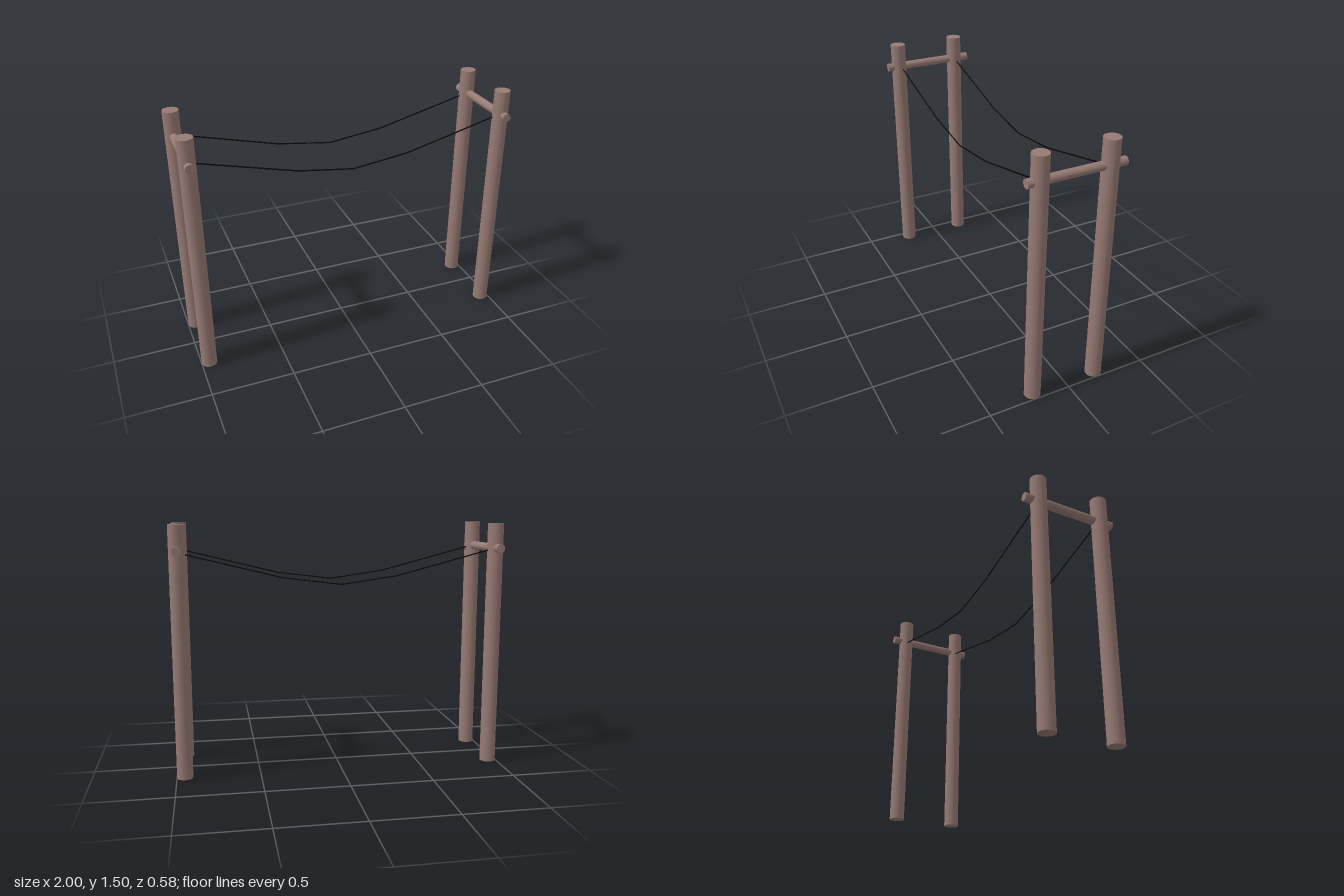
import * as THREE from 'three';

export function createModel() {
  const model = new THREE.Group();
  const wood = new THREE.MeshStandardMaterial({ color: 0x977a73 });
  const black = new THREE.MeshStandardMaterial({ color: 0x080808 });

  const add = (name, geometry, material, x, y, z) => {
    const mesh = new THREE.Mesh(geometry, material);
    mesh.name = name;
    mesh.position.set(x, y, z);
    model.add(mesh);
    return mesh;
  };

  // Two end frames: a pair of round posts joined by a crossbar
  const postGeometry = new THREE.CylinderGeometry(0.048, 0.048, 1.5, 16);
  const barGeometry = new THREE.CylinderGeometry(0.026, 0.026, 0.578, 16);
  for (const [side, x] of [['left', 0.952], ['right', -0.952]]) {
    add(side + 'FrontPost', postGeometry, wood, x, 0.75, 0.212);
    add(side + 'BackPost', postGeometry, wood, x, 0.75, -0.195);
    add(side + 'Crossbar', barGeometry, wood, x, 1.35, 0).rotation.x = Math.PI / 2;
  }

  // Sagging lines made of straight segments between the frames
  const sag = [[-0.935, 1.345], [-0.335, 1.19], [0, 1.144], [0.345, 1.188], [0.935, 1.336]];
  const up = new THREE.Vector3(0, 1, 0);
  for (const [name, z] of [['frontLine', 0.2], ['backLine', -0.197]]) {
    for (let i = 0; i < sag.length - 1; i++) {
      const a = new THREE.Vector3(...sag[i], z);
      const b = new THREE.Vector3(...sag[i + 1], z);
      const mid = a.clone().lerp(b, 0.5);
      const segment = add(name + 'Segment' + (i + 1),
        new THREE.CylinderGeometry(0.004, 0.004, a.distanceTo(b) + 0.001, 6), black, mid.x, mid.y, mid.z);
      segment.quaternion.setFromUnitVectors(up, b.sub(a).normalize());
    }
  }
  return model;
}
